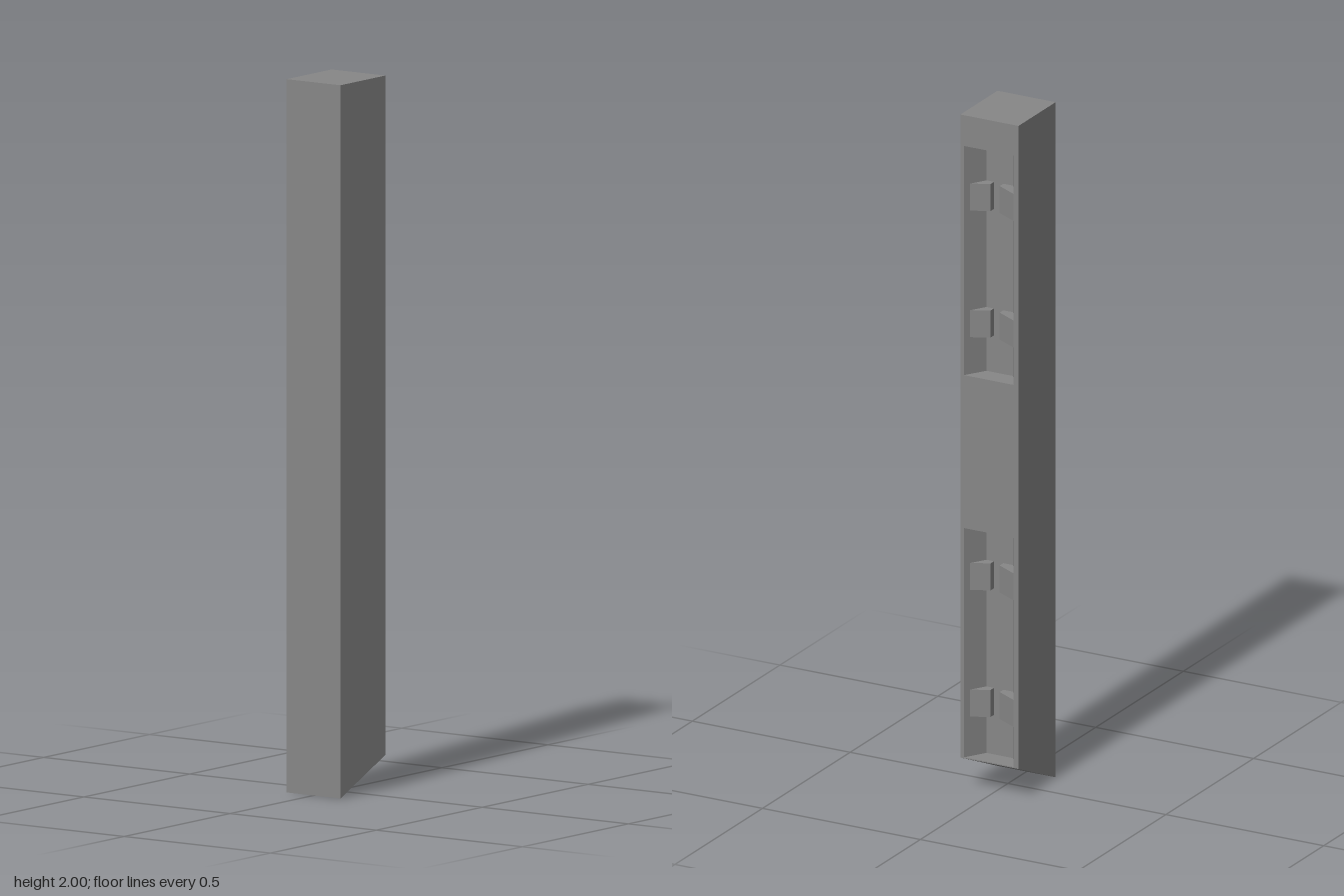
import * as THREE from 'three';

const W = 0.106, D = 0.092, H = 2, CUT = 0.095; // half width, half depth, height, rise of the slanted foot
const POCKET_H = 0.679;
// pocket floors, and the height of the lowest clips above them
const POCKETS = [{ y: 0.098, clipY: 0.117 }, { y: 1.23, clipY: 0.109 }];
// pocket section as [z, x], narrowing inwards
const SECTION = [[0.08, W], [0.043, 0.046], [-0.042, 0.046], [-0.077, W]];
// clip sections as [z, x], one against each sloping wall
const CLIPS = {
  leftClip: [[0.07, 0.09], [0.019, 0.065], [0.019, 0.046], [0.043, 0.046]],
  rightClip: [[-0.075, 0.1025], [-0.011, 0.067], [-0.011, 0.046], [-0.042, 0.046]],
};

const material = new THREE.MeshStandardMaterial({ color: 0x878787, flatShading: true });

function addMesh(parent, name, geometry) {
  const mesh = new THREE.Mesh(geometry, material);
  mesh.name = name;
  parent.add(mesh);
}

// four-cornered faces, corners counter-clockwise from outside
function quads(list) {
  const positions = list.flatMap(([a, b, c, d]) => [a, b, c, a, c, d]).flat();
  const geometry = new THREE.BufferGeometry();
  geometry.setAttribute('position', new THREE.Float32BufferAttribute(positions, 3));
  geometry.computeVertexNormals();
  return geometry;
}

function rectangle(Type, u0, u1, v0, v1) {
  return new Type([[u0, v0], [u1, v0], [u1, v1], [u0, v1]].map(([u, v]) => new THREE.Vector2(u, v)));
}

export function createModel() {
  const model = new THREE.Group();
  model.name = 'slottedPost';

  // post: plain faces and slanted foot
  const corner = (x, top, z) => [x, top ? H : x > 0 ? CUT : 0, z];
  addMesh(model, 'postShell', quads([
    [corner(-W, 0, D), corner(W, 0, D), corner(W, 1, D), corner(-W, 1, D)],
    [corner(W, 0, -D), corner(-W, 0, -D), corner(-W, 1, -D), corner(W, 1, -D)],
    [corner(-W, 0, -D), corner(-W, 0, D), corner(-W, 1, D), corner(-W, 1, -D)],
    [corner(-W, 1, D), corner(W, 1, D), corner(W, 1, -D), corner(-W, 1, -D)],
    [corner(-W, 0, -D), corner(W, 0, -D), corner(W, 0, D), corner(-W, 0, D)],
  ]));

  // slotted side with two pocket openings
  const face = rectangle(THREE.Shape, -D, D, CUT, H);
  for (const { y } of POCKETS) {
    face.holes.push(rectangle(THREE.Path, -SECTION[0][0], -SECTION[3][0], y, y + POCKET_H));
  }
  addMesh(model, 'slottedFace', new THREE.ShapeGeometry(face).rotateY(Math.PI / 2).translate(W, 0, 0));

  for (const { y, clipY } of POCKETS) {
    const pocket = new THREE.Group();
    pocket.name = 'pocket';
    pocket.position.y = y;
    model.add(pocket);

    // pocket lining: walls, floor and ceiling
    const ring = (h) => SECTION.map(([z, x]) => [x, h, z]);
    const low = ring(0), high = ring(POCKET_H);
    const faces = [0, 1, 2].map((i) => [low[i], low[i + 1], high[i + 1], high[i]]);
    faces.push([...low].reverse(), high);
    addMesh(pocket, 'pocketLining', quads(faces));

    // pairs of clips
    for (const h of [clipY, clipY + 0.375]) {
      for (const [name, section] of Object.entries(CLIPS)) {
        const shape = new THREE.Shape(section.map(([z, x]) => new THREE.Vector2(x, -z)));
        const geometry = new THREE.ExtrudeGeometry(shape, { depth: 0.08, bevelEnabled: false });
        addMesh(pocket, name, geometry.rotateX(-Math.PI / 2).translate(0, h, 0));
      }
    }
  }
  return model;
}
